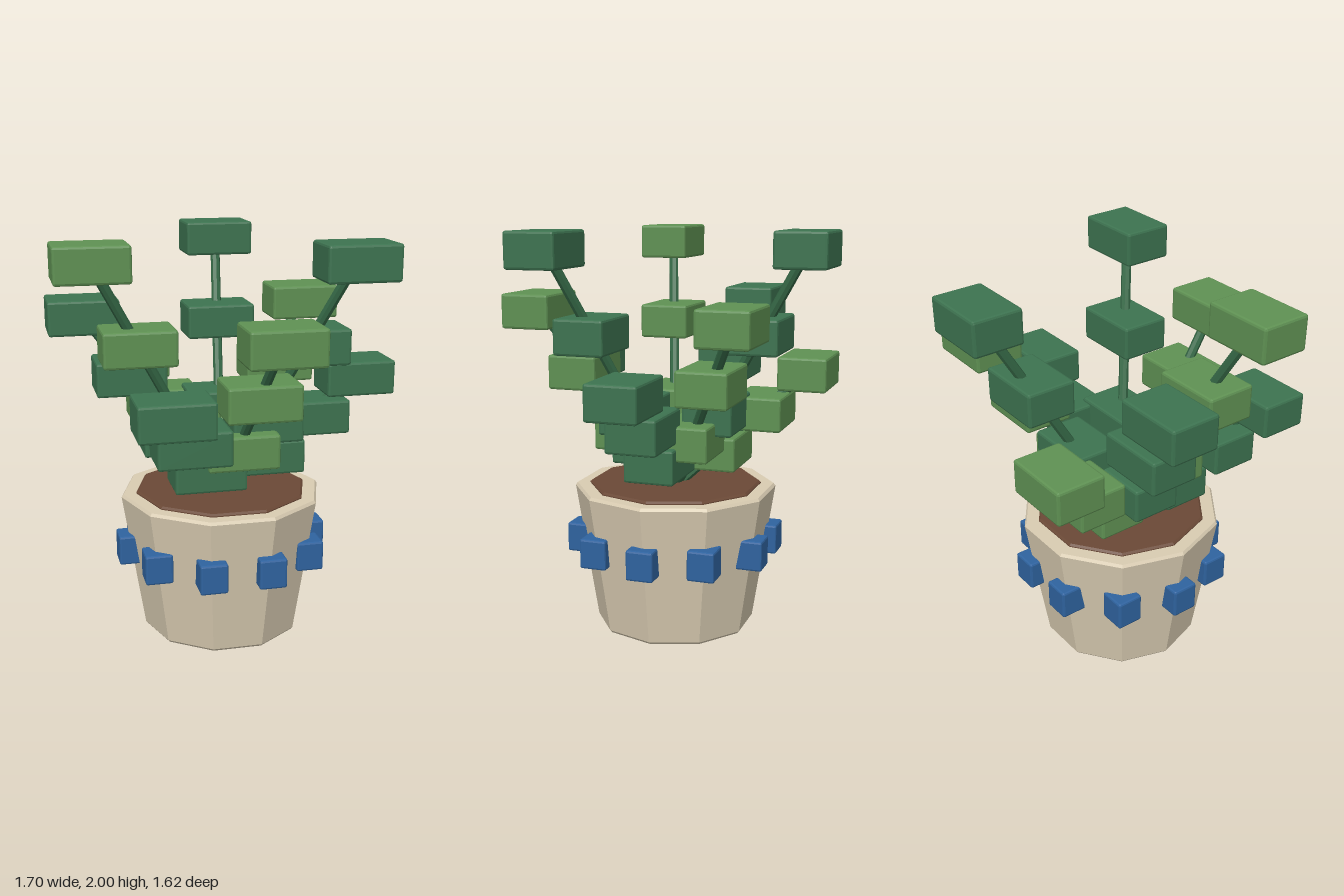
import * as THREE from 'three';
import { RoundedBoxGeometry } from 'three/addons/geometries/RoundedBoxGeometry.js';

const mat = (color) => new THREE.MeshStandardMaterial({ color, flatShading: true });

export function createModel() {
  const model = new THREE.Group();
  model.name = 'pottedPlant';
  const darkLeaf = mat(0x3d7350), lightLeaf = mat(0x5f9153), stemMat = mat(0x356846);
  const clay = mat(0xd9ccb2), soilMat = mat(0x6b4936), blue = mat(0x2f639f);
  const cx = -0.025; // axis of the pot

  const add = (parent, name, geometry, material, x, y, z) => {
    const mesh = new THREE.Mesh(geometry, material);
    mesh.name = name;
    mesh.position.set(x, y, z);
    parent.add(mesh);
    return mesh;
  };

  // Ten-sided pot with softened rim and foot
  const profile = [[0, 0], [0.39, 0], [0.4, 0.012], [0.51, 0.708], [0.5, 0.722], [0.425, 0.722], [0.415, 0.66]]
    .map(([r, y]) => new THREE.Vector2(r, y));
  add(model, 'pot', new THREE.LatheGeometry(profile, 10), clay, cx, 0, 0).rotation.y = Math.PI / 2;

  // Soil
  const soilProfile = [[0.435, 0.66], [0.435, 0.727], [0.425, 0.736], [0, 0.736]]
    .map(([r, y]) => new THREE.Vector2(r, y));
  add(model, 'soil', new THREE.LatheGeometry(soilProfile, 10), soilMat, cx, 0, 0).rotation.y = Math.PI / 2;

  // Ring of blocks round the pot, all square to the axes
  const blocks = new THREE.Group();
  blocks.name = 'potBlocks';
  model.add(blocks);
  const blockGeo = new RoundedBoxGeometry(0.135, 0.15, 0.135, 1, 0.01);
  for (let i = 0; i < 10; i++) {
    const a = (i * Math.PI) / 5;
    add(blocks, 'potBlock', blockGeo, blue, cx + 0.467 * Math.cos(a), 0.443, 0.467 * Math.sin(a));
  }

  // Nine straight stems in three heights, each with three block leaves
  const leafGeo = new RoundedBoxGeometry(0.35, 0.172, 0.25, 1, 0.012);
  const heights = [1.28, 1.914, 1.597];
  const root = new THREE.Vector3(cx, 0.705, 0);
  for (let i = 0; i < 9; i++) {
    const branch = new THREE.Group();
    branch.name = 'branch';
    model.add(branch);
    const a = (i * Math.PI * 2) / 9;
    const tip = new THREE.Vector3(cx + 0.694 * Math.cos(a), heights[i % 3], 0.694 * Math.sin(a));
    const direction = tip.clone().sub(root);
    const middle = root.clone().lerp(tip, 0.5);
    const stem = add(branch, 'stem', new THREE.CylinderGeometry(0.025, 0.025, direction.length(), 8),
      stemMat, middle.x, middle.y, middle.z);
    stem.quaternion.setFromUnitVectors(new THREE.Vector3(0, 1, 0), direction.normalize());

    const leafMat = i === 0 || i % 2 === 1 ? darkLeaf : lightLeaf;
    for (let k = 1; k <= 3; k++) {
      const p = root.clone().lerp(tip, k / 3);
      add(branch, 'leaf', leafGeo, leafMat, p.x, p.y, p.z);
    }
  }
  return model;
}
